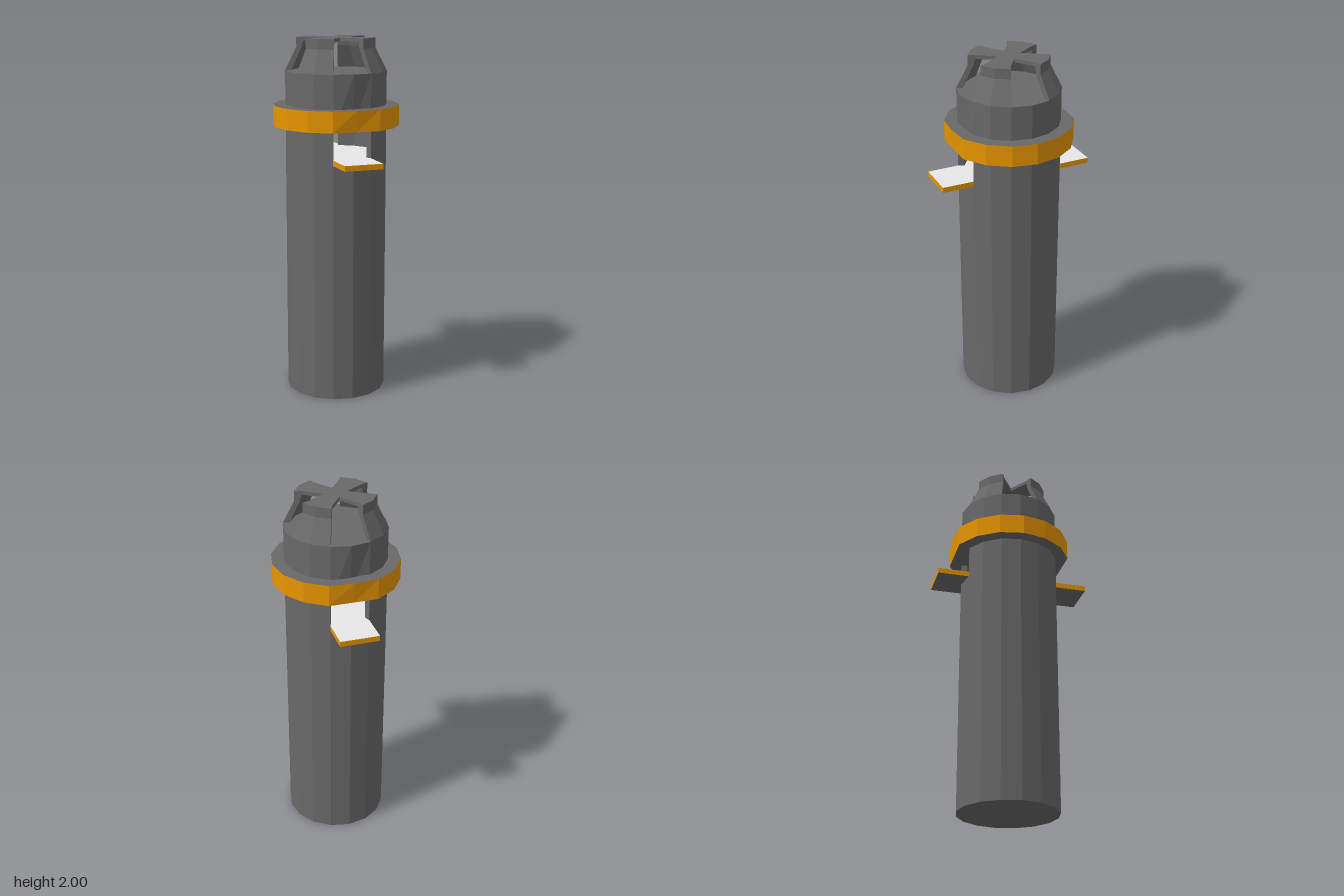
import * as THREE from 'three';

export function createModel() {
  const model = new THREE.Group();
  const grey = new THREE.MeshStandardMaterial({ name: 'dark grey', color: 0x696969 });
  const orange = new THREE.MeshStandardMaterial({ name: 'orange', color: 0xffa500 });
  const white = new THREE.MeshStandardMaterial({ name: 'white', color: 0xffffff });
  const SIDES = 16, STEP = (Math.PI * 2) / SIDES, R = 0.28;
  const OPEN_Y = 1.362, COLLAR_Y = 1.52, ROOF_Y = 1.82;

  const add = (name, geometry, material, parent = model) => {
    const mesh = new THREE.Mesh(geometry, material);
    mesh.name = name;
    parent.add(mesh);
    return mesh;
  };

  // Faceted drum; 'flatten' pulls the front and back corners in above the openings
  const drum = (r, y0, y1, flatten = false, sides = SIDES) => {
    const g = new THREE.CylinderGeometry(r, r, y1 - y0, sides).toNonIndexed();
    g.translate(0, (y0 + y1) / 2, 0);
    const p = g.attributes.position;
    for (let i = 0; flatten && i < p.count; i++) {
      if (Math.abs(p.getX(i)) > 0.001) continue;
      const t = (p.getY(i) - COLLAR_Y) / (ROOF_Y - COLLAR_Y);
      p.setZ(i, p.getZ(i) * THREE.MathUtils.lerp(Math.cos(STEP), 1, t));
    }
    g.computeVertexNormals();
    return g;
  };

  // Main body, head and collar
  add('body', drum(R, 0, OPEN_Y), grey);
  add('head', drum(R, COLLAR_Y, ROOF_Y, true), grey);
  add('collar', drum(0.35, COLLAR_Y, 1.635, true), [orange, grey, grey]);

  // Curved walls either side of the through opening
  const wall = new THREE.Shape();
  const arc = (r, i) => [r * Math.sin(i * STEP), r * Math.cos(i * STEP)];
  wall.moveTo(...arc(R, 1));
  for (let i = 2; i <= 7; i++) wall.lineTo(...arc(R, i));
  for (let i = 7; i >= 1; i--) wall.lineTo(...arc(0.245, i));
  const wallGeometry = new THREE.ExtrudeGeometry(wall, { depth: COLLAR_Y - OPEN_Y, bevelEnabled: false });
  wallGeometry.rotateX(-Math.PI / 2).translate(0, OPEN_Y, 0);
  add('leftWall', wallGeometry, grey);
  add('rightWall', wallGeometry, grey).rotation.y = Math.PI;

  // Tray running through the opening, and the floor around it
  const tray = new THREE.BoxGeometry(0.216, 0.03, 0.87).translate(0, 1.35, 0);
  add('tray', tray, [orange, orange, white, grey, orange, orange]);
  add('openingFloor', drum(0.25, OPEN_Y - 0.002, OPEN_Y + 0.002), white);

  // Crown arm: [radius, height, half angle] round its section
  const D = Math.PI / 8;
  const section = [
    [R, ROOF_Y, D], [0.217, 1.945, D], [0.217, 2, D], [0.175, 2, D], [0.065, 2, 2 * D],
    [0.065, 1.98, 2 * D], [0.175, 1.98, D], [0.18, 1.98, D], [0.187, 1.945, D], [0.245, ROOF_Y, D],
  ];
  const n = section.length, verts = [];
  const point = (s, k) => {
    const [r, y, half] = section[k % n];
    const a = Math.PI / 4 + s * half;
    return [r * Math.sin(a), y, r * Math.cos(a)];
  };
  const quad = (a, b, c, d) => verts.push(...a, ...b, ...c, ...a, ...c, ...d);
  for (const s of [-1, 0]) {
    for (let k = 0; k < n; k++) quad(point(s, k), point(s + 1, k), point(s + 1, k + 1), point(s, k + 1));
  }
  for (let i = 0; i < 4; i++) {
    const loop = [i, i + 1, 8 - i, 9 - i];
    quad(...loop.map((k) => point(-1, k)));
    quad(...loop.reverse().map((k) => point(1, k)));
  }
  const arm = new THREE.BufferGeometry();
  arm.setAttribute('position', new THREE.Float32BufferAttribute(verts, 3));
  arm.computeVertexNormals();

  // Four arms meeting at the hub
  const crown = new THREE.Group();
  crown.name = 'crown';
  model.add(crown);
  for (let i = 0; i < 4; i++) add('crownArm', arm, grey, crown).rotation.y = (i * Math.PI) / 2;
  add('crownHub', drum(0.065, 1.98, 2, false, 8), grey, crown);

  return model;
}
